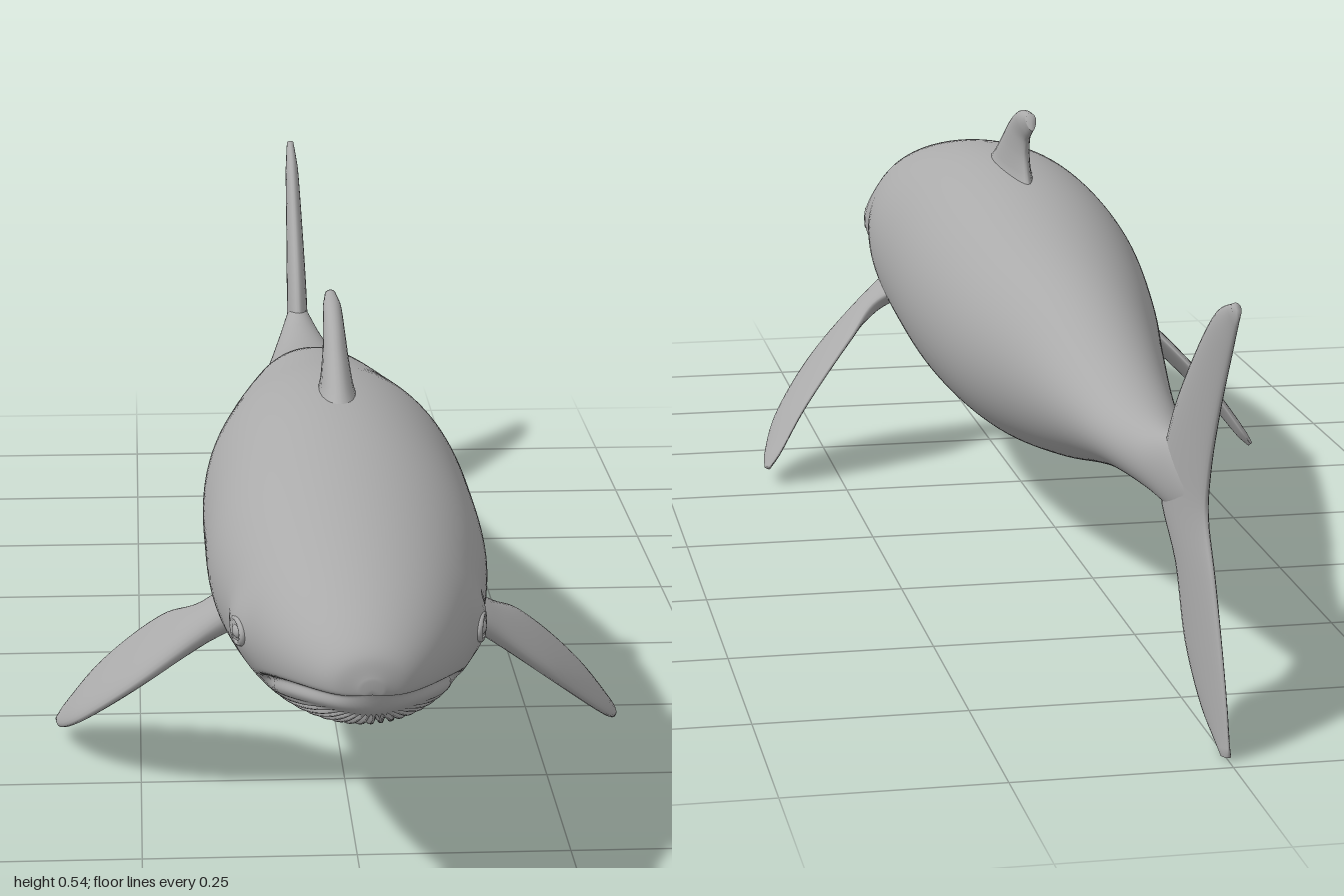
import * as THREE from 'three';

const V = (x, y, z) => new THREE.Vector3(x, y, z);
const step = THREE.MathUtils.smoothstep;

// Closed smooth skin over a list of equally long rings, with both ends capped.
function loft(rings) {
  const n = rings[0].length, pos = [], idx = [];
  rings.forEach(r => r.forEach(p => pos.push(p.x, p.y, p.z)));
  const at = (i, j) => i * n + (j % n);
  for (let i = 0; i < rings.length - 1; i++) {
    for (let j = 0; j < n; j++) {
      idx.push(at(i, j), at(i + 1, j), at(i, j + 1));
      idx.push(at(i, j + 1), at(i + 1, j), at(i + 1, j + 1));
    }
  }
  [0, rings.length - 1].forEach((i, end) => {
    const c = V(0, 0, 0);
    rings[i].forEach(p => c.addScaledVector(p, 1 / n));
    const k = pos.length / 3;
    pos.push(c.x, c.y, c.z);
    for (let j = 0; j < n; j++) {
      if (end) idx.push(k, at(i, j + 1), at(i, j));
      else idx.push(k, at(i, j), at(i, j + 1));
    }
  });
  const g = new THREE.BufferGeometry();
  g.setAttribute('position', new THREE.Float32BufferAttribute(pos, 3));
  g.setIndex(idx);
  g.computeVertexNormals();
  return g;
}

// Fin with a lens section; rows run root to tip: [leading edge, trailing edge, half thickness].
function fin(rows) {
  const lead = new THREE.CatmullRomCurve3(rows.map(r => r[0]));
  const trail = new THREE.CatmullRomCurve3(rows.map(r => r[1]));
  const thick = new THREE.CatmullRomCurve3(rows.map(r => V(r[2], 0, 0)));
  const mid = t => lead.getPoint(t).add(trail.getPoint(t)).multiplyScalar(0.5);
  const rings = [], steps = 40, sides = 28;
  for (let i = 0; i <= steps; i++) {
    const t = i / steps, c = mid(t);
    const along = mid(Math.min(1, t + 0.01)).sub(mid(Math.max(0, t - 0.01)));
    const u = lead.getPoint(t).sub(c);
    const normal = u.clone().cross(along).normalize();
    const h = thick.getPoint(t).x;
    rings.push(Array.from({ length: sides }, (_, j) => {
      const a = j / sides * Math.PI * 2;
      // the section is fuller toward the leading edge
      return c.clone().addScaledVector(u, Math.cos(a))
        .addScaledVector(normal, h * Math.sin(a) * (0.85 + 0.25 * Math.cos(a)));
    }));
  }
  return loft(rings);
}

// Body profile: z, top, bottom, half width
const PROFILE = [
  [1.0, 0.302, 0.282, 0.012], [0.99, 0.327, 0.263, 0.042], [0.965, 0.347, 0.246, 0.066],
  [0.9, 0.376, 0.217, 0.1], [0.8, 0.403, 0.186, 0.131], [0.6, 0.438, 0.148, 0.163],
  [0.4, 0.454, 0.12, 0.168], [0.2, 0.443, 0.112, 0.164], [0, 0.41, 0.12, 0.141],
  [-0.2, 0.375, 0.15, 0.105], [-0.4, 0.327, 0.192, 0.071], [-0.52, 0.306, 0.213, 0.054],
  [-0.65, 0.302, 0.222, 0.036], [-0.75, 0.31, 0.222, 0.02], [-0.83, 0.29, 0.24, 0.009],
];

function bodyGeometry() {
  const size = new THREE.CatmullRomCurve3(PROFILE.map(p => V(p[0], p[1], p[2])));
  const wide = new THREE.CatmullRomCurve3(PROFILE.map(p => V(p[0], p[3], 0)));
  const rings = [], steps = 112, sides = 336;
  for (let i = 0; i <= steps; i++) {
    const s = size.getPoint(i / steps), w = wide.getPoint(i / steps).y;
    const z = s.x, cy = (s.y + s.z) / 2, h = (s.y - s.z) / 2;
    // mouth line droops toward the eye
    const mouthY = 0.277 - 0.7 * Math.pow(Math.max(0, 1 - z), 1.75);
    const mouth = 0.009 * step(z, 0.79, 0.83);
    const pleatZ = step(z, 0.0, 0.35) * (1 - step(z, 0.97, 0.995));
    rings.push(Array.from({ length: sides }, (_, j) => {
      const a = j / sides * Math.PI * 2, c = Math.cos(a), sn = Math.sin(a);
      const y = cy + h * sn;
      // throat pleats and mouth crease pull the skin inward
      const pleat = 0.0065 * pleatZ * step(-sn, 0.3, 0.5) * step(mouthY - y, 0.012, 0.03)
        * Math.pow(0.5 + 0.5 * Math.cos(a * 56), 2);
      const crease = mouth * Math.exp(-Math.pow((y - mouthY) / 0.006, 2));
      // soft swelling around the eye
      const brow = 0.009 * Math.exp(-Math.pow((z - 0.775) / 0.035, 2) - Math.pow((y - 0.29) / 0.035, 2));
      const d = brow - Math.min(pleat + crease, w * 0.5);
      return V((w + d) * c, cy + (h + d) * sn, z);
    }));
  }
  return loft(rings);
}

export function createModel() {
  const whale = new THREE.Group();
  whale.name = 'whale';
  const skin = new THREE.MeshStandardMaterial({ color: 0xaaaaaa });
  skin.name = 'grey skin';
  const add = (name, geometry, parent = whale) => {
    const m = new THREE.Mesh(geometry, skin);
    m.name = name;
    parent.add(m);
    return m;
  };

  add('body', bodyGeometry());

  // Swept back fin
  add('dorsalFin', fin([
    [V(0, 0.43, 0.46), V(0, 0.42, 0.17), 0.036],
    [V(0, 0.462, 0.39), V(0, 0.452, 0.198), 0.023],
    [V(0, 0.492, 0.335), V(0, 0.478, 0.207), 0.018],
    [V(0, 0.52, 0.285), V(0, 0.5, 0.2), 0.015],
    [V(0, 0.54, 0.23), V(0, 0.513, 0.178), 0.013],
    [V(0, 0.544, 0.175), V(0, 0.522, 0.158), 0.008],
  ]));

  // Upright tail, lower tip to upper tip
  add('tailFin', fin([
    [V(0, 0.002, -0.955), V(0, 0.006, -0.98), 0.006],
    [V(0, 0.03, -0.86), V(0, 0.055, -0.966), 0.01],
    [V(0, 0.085, -0.782), V(0, 0.11, -0.942), 0.013],
    [V(0, 0.165, -0.738), V(0, 0.187, -0.902), 0.015],
    [V(0, 0.235, -0.66), V(0, 0.25, -0.866), 0.018],
    [V(0, 0.325, -0.71), V(0, 0.3, -0.875), 0.017],
    [V(0, 0.428, -0.82), V(0, 0.37, -0.91), 0.014],
    [V(0, 0.498, -0.92), V(0, 0.45, -0.962), 0.011],
    [V(0, 0.519, -0.985), V(0, 0.505, -1.0), 0.006],
  ]));

  for (const s of [1, -1]) {
    const side = s > 0 ? 'left' : 'right';
    // Flipper sweeping out, down and back
    add(side + 'Flipper', fin([
      [V(0.13 * s, 0.24, 0.575), V(0.12 * s, 0.25, 0.46), 0.026],
      [V(0.175 * s, 0.205, 0.56), V(0.17 * s, 0.225, 0.475), 0.018],
      [V(0.262 * s, 0.13, 0.525), V(0.22 * s, 0.187, 0.405), 0.014],
      [V(0.326 * s, 0.063, 0.445), V(0.298 * s, 0.103, 0.335), 0.011],
      [V(0.352 * s, 0.026, 0.36), V(0.338 * s, 0.045, 0.308), 0.008],
      [V(0.356 * s, 0.02, 0.325), V(0.352 * s, 0.025, 0.308), 0.004],
    ]));

    // Eye set in a ringed lid
    const eye = new THREE.Group();
    eye.name = side + 'Eye';
    eye.position.set(0.138 * s, 0.291, 0.785);
    eye.rotation.y = s * (Math.PI / 2 - 0.2);
    add('eyeball', new THREE.SphereGeometry(0.011, 20, 14), eye).scale.set(1.2, 0.8, 0.6);
    add('eyelid', new THREE.TorusGeometry(0.018, 0.0045, 10, 28), eye).scale.set(1.25, 0.75, 1);
    whale.add(eye);
  }
  return whale;
}
